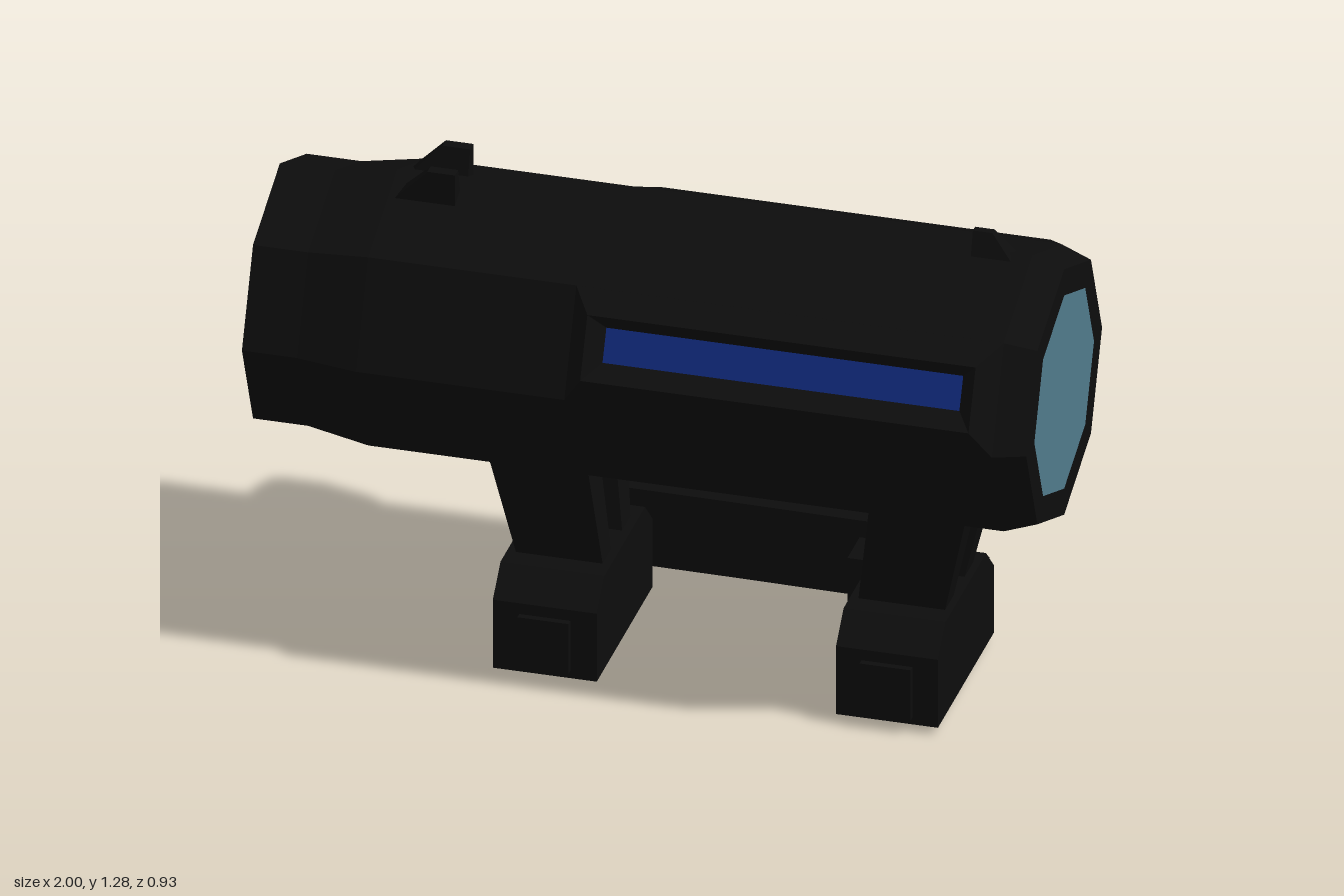
import * as THREE from 'three';

const CY = 0.862, CZ = 0.06; // tube axis

// Skin over loops of points; loops run counter-clockwise seen from the last one
function loft(loops, capStart = true, capEnd = true) {
  const pos = [];
  const tri = (a, b, c) => pos.push(...a, ...b, ...c);
  for (let k = 0; k + 1 < loops.length; k++) {
    const A = loops[k], B = loops[k + 1], n = A.length;
    for (let i = 0; i < n; i++) {
      const j = (i + 1) % n;
      tri(A[i], A[j], B[j]);
      tri(A[i], B[j], B[i]);
    }
  }
  const first = loops[0], last = loops[loops.length - 1];
  for (let i = 1; i + 1 < first.length; i++) {
    if (capStart) tri(first[0], first[i + 1], first[i]);
    if (capEnd) tri(last[0], last[i], last[i + 1]);
  }
  const g = new THREE.BufferGeometry();
  g.setAttribute('position', new THREE.Float32BufferAttribute(pos, 3));
  g.computeVertexNormals();
  return g;
}

// Horizontal rectangle and x-facing section as loft loops
const rectY = (y, x0, x1, z0, z1) => [[x0, y, z1], [x1, y, z1], [x1, y, z0], [x0, y, z0]];
const sectionX = (x, zy) => zy.map(([z, y]) => [x, y, z]);

function lathe(points, phiStart = 0) {
  const g = new THREE.LatheGeometry(points.map(p => new THREE.Vector2(...p)), 8, phiStart).toNonIndexed();
  g.computeVertexNormals();
  return g;
}

export function createModel() {
  const model = new THREE.Group();
  model.name = 'opticalSight';
  const black = new THREE.MeshStandardMaterial({ color: 0x0d0d0d, flatShading: true });
  black.name = 'black';
  const blue = new THREE.MeshStandardMaterial({ color: 0x10297c, flatShading: true });
  blue.name = 'blue';
  const glass = new THREE.MeshStandardMaterial({ color: 0x507a8b, flatShading: true });
  glass.name = 'glass';

  const add = (name, geometry, material = black, parent = model) => {
    const mesh = new THREE.Mesh(geometry, material);
    mesh.name = name;
    parent.add(mesh);
    return mesh;
  };

  // Octagonal tube, narrower at both ends
  const tube = add('tube', lathe([
    [0.27, -1], [0.343, -1], [0.343, -0.86], [0.372, -0.7], [0.372, 0.92], [0.343, 1], [0.27, 1],
  ]).rotateZ(-Math.PI / 2));
  tube.position.set(0, CY, CZ);

  // Lenses at both ends
  for (const s of [-1, 1]) {
    const lens = add(s > 0 ? 'leftLens' : 'rightLens',
      new THREE.CircleGeometry(0.27, 8).rotateY(s * Math.PI / 2), glass);
    lens.position.set(s, CY, CZ);
  }

  // Raised side panels with a sunken blue strip
  for (const s of [-1, 1]) {
    const loop = (x0, x1, low, high) => {
      const pts = [[x0, ...low], [x1, ...low], [x1, ...high], [x0, ...high]]
        .map(([x, y, d]) => [x, y, CZ + s * d]);
      return s > 0 ? pts : pts.reverse();
    };
    const root = loop(-0.17, 0.92, [CY, 0.372], [1.125, 0.263]);
    const rim = loop(-0.12, 0.87, [0.94, 0.405], [1.09, 0.34]);
    const floor = loop(-0.08, 0.83, [0.965, 0.345], [1.045, 0.31]);
    const side = s > 0 ? 'front' : 'back';
    add(side + 'Panel', loft([root, rim, floor], false, false));
    add(side + 'Strip', loft([floor], false, true), blue);
  }

  // Iron sights: two notch prongs and one post
  for (const s of [-1, 1]) {
    const prong = (y, x0, inner) => {
      const a = CZ + s * inner, b = CZ + s * 0.084;
      return rectY(y, x0, -0.53, Math.min(a, b), Math.max(a, b));
    };
    add('rearSightProng', loft([prong(1.18, -0.7, 0.035), prong(1.22, -0.665, 0.037), prong(1.285, -0.6, 0.055)]));
  }
  add('frontSightPost', loft([
    rectY(1.2, 0.77, 0.89, 0.025, 0.095),
    rectY(1.285, 0.77, 0.82, 0.05, 0.07),
  ]));

  // Mounts: clamp block, front plate and two leaning posts each
  const mount = (name, x0, x1, bottom, top) => {
    const group = new THREE.Group();
    group.name = name;
    model.add(group);
    const profile = [[0.315, 0.02], [-0.19, 0.02], [-0.19, 0.21], [-0.12, 0.28], [0.245, 0.28], [0.315, 0.21]];
    add('clampBlock', loft([sectionX(x0, profile), sectionX(x1, profile)]), black, group);
    const plate = add('clampPlate', new THREE.BoxGeometry(0.13, 0.14, 0.03), black, group);
    plate.position.set((x0 + x1) / 2, 0.11, 0.317);
    add('frontPost', loft([rectY(0.27, ...bottom, 0.11, 0.186), rectY(0.6, ...top, 0.125, 0.232)]), black, group);
    add('backPost', loft([rectY(0.27, ...bottom, -0.066, 0.012), rectY(0.6, ...top, -0.112, -0.005)]), black, group);
  };
  mount('rightMount', -0.385, -0.12, [-0.36, -0.14], [-0.43, -0.172]);
  mount('leftMount', 0.49, 0.75, [0.51, 0.73], [0.555, 0.805]);

  // Locking lever behind the mounts
  const leverSection = (x, inner, outer, cut = 0) => sectionX(x, [
    [inner, cut], [outer + 0.025, cut], [outer, 0.03 + cut],
    [outer, 0.18 - cut], [outer + 0.025, 0.21 - cut], [inner, 0.21 - cut],
  ]);
  add('lever', loft([
    leverSection(-0.49, -0.33, -0.43), leverSection(0.06, -0.325, -0.43),
    leverSection(0.36, -0.32, -0.465), leverSection(0.41, -0.32, -0.455), leverSection(0.43, -0.36, -0.445, 0.03),
  ]));
  // Lever pivot on the left mount
  const pivotSection = x => sectionX(x, [[-0.18, 0.035], [-0.29, 0.035], [-0.33, 0.065], [-0.33, 0.15], [-0.29, 0.18], [-0.18, 0.18]]);
  add('leverPivot', loft([pivotSection(0.38), pivotSection(0.7)]));

  // Adjustment knob on the lower back face
  const knob = add('adjustmentKnob', lathe([
    [0.1, -0.11], [0.1, 0], [0.157, 0], [0.157, 0.045], [0.135, 0.072], [0, 0.072],
  ], Math.PI / 8));
  knob.position.set(-0.455, 0.687, -0.31);
  knob.rotation.x = -Math.PI * 0.625;

  return model;
}
